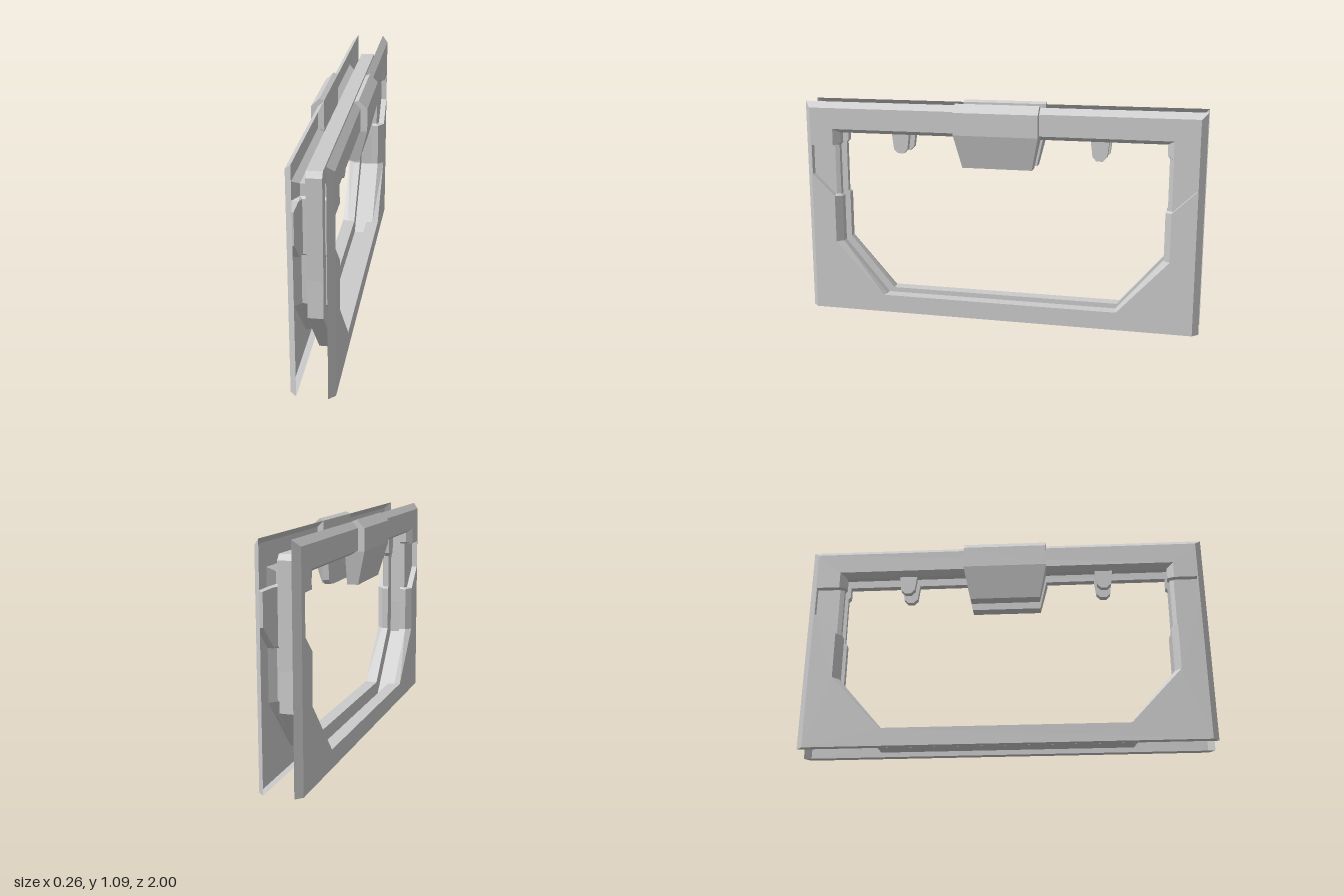
import * as THREE from 'three';

const mat = new THREE.MeshStandardMaterial({ color: 0xcccccc, flatShading: true, side: THREE.DoubleSide });

const mesh = (name, geometry) => {
  const m = new THREE.Mesh(geometry, mat);
  m.name = name;
  return m;
};

// Half outline [z, y] from bottom to top -> full closed outline
const mirrorOutline = (half) => [...half, ...half.map(([z, y, ...r]) => [-z, y, ...r]).reverse()];

// Sheet between rows of [x, y, z] points
function ribbon(rows, closed) {
  const pos = [];
  for (let r = 0; r < rows.length - 1; r++) {
    const a = rows[r], b = rows[r + 1], n = a.length;
    for (let i = 0; i < (closed ? n : n - 1); i++) {
      const j = (i + 1) % n;
      pos.push(...a[i], ...b[i], ...b[j], ...a[i], ...b[j], ...a[j]);
    }
  }
  const g = new THREE.BufferGeometry();
  g.setAttribute('position', new THREE.Float32BufferAttribute(pos, 3));
  g.computeVertexNormals();
  return g;
}

const at = (outline, x) => outline.map(([z, y]) => [x, y, z]);

function outlineShape(outline, hole) {
  const pts = (o) => o.map(([z, y]) => new THREE.Vector2(-z, y));
  const s = new THREE.Shape(pts(outline));
  if (hole) s.holes.push(new THREE.Path(pts(hole)));
  return s;
}

// Flat sheet facing +x
const face = (outline, x, hole) =>
  new THREE.ShapeGeometry(outlineShape(outline, hole)).rotateY(Math.PI / 2).translate(x, 0, 0);

// Opening lip: [outer z, y, inner z, y, outer x, bevel x]
const lipHalf = [
  [0.60, 0.09, 0.59, 0.09, 0.10, 0.07],
  [0.85, 0.36, 0.82, 0.36, 0.10, 0.07],
  [0.85, 0.60, 0.82, 0.595, 0.10, 0.07],
  [0.855, 0.605, 0.83, 0.605, 0.07, 0.06],
  [0.855, 0.86, 0.83, 0.86, 0.07, 0.06],
  [0.85, 0.86, 0.82, 0.87, 0.10, 0.07],
  [0.85, 0.945, 0.82, 0.925, 0.10, 0.07],
];
const lip = [...lipHalf, ...lipHalf.map(([a, b, c, d, e, f]) => [-a, b, -c, d, e, f]).reverse()];
const innerOpening = lip.map((p) => [p[2], p[3]]);
const CORE = 0.035;

function createSide() {
  const g = new THREE.Group();

  // Outer face with its opening, chamfered rim
  const pocket = [[0.85, 0.60], [0.965, 0.71], [0.965, 0.86], [0.85, 0.86]];
  const plate = mirrorOutline([[0.97, 0], [0.97, 1.05]]);
  const rim = mirrorOutline([[1, 0], [1, 1.08]]);
  const opening = mirrorOutline([[0.60, 0.09], [0.85, 0.36], ...pocket, [0.85, 0.945]]);
  g.add(mesh('sidePlate', face(plate, 0.10, opening)));
  g.add(mesh('plateRim', ribbon([at(rim, 0.07), at(plate, 0.10)], true)));

  // Bevelled lip around the opening
  g.add(mesh('openingLip', ribbon([
    lip.map((p) => [p[4], p[1], p[0]]),
    lip.map((p) => [p[5], p[3], p[2]]),
    at(innerOpening, CORE),
  ], true)));

  for (const k of [1, -1]) {
    // Sunken panel on each upright
    const p = pocket.map(([z, y]) => [k * z, y]);
    g.add(mesh('recessPanel', face(p, 0.07)));
    g.add(mesh('recessWall', ribbon([at(p, 0.10), at(p, 0.07)], false)));

    // Small hanging tab
    const tab = [[0.545, 0.93], [0.535, 0.85], [0.515, 0.83], [0.485, 0.83], [0.465, 0.85], [0.455, 0.93]]
      .map(([z, y]) => [k * z, y]);
    const geo = new THREE.ExtrudeGeometry(outlineShape(tab), { depth: 0.03, bevelEnabled: false });
    g.add(mesh('hangingTab', geo.rotateY(Math.PI / 2).translate(0.038, 0, 0)));
  }

  // Central clamp, narrowing towards its lower edge
  const profile = [[CORE, 0.775], [0.09, 0.775], [0.132, 0.94], [0.132, 1.05], [0.092, 1.09],
    [0.07, 1.08], [0.07, 0.94], [0.07, 0.925], [CORE, 0.925]].map(([x, y]) => new THREE.Vector2(x, y));
  const clamp = new THREE.ExtrudeGeometry(new THREE.Shape(profile), { depth: 0.42, bevelEnabled: false });
  clamp.translate(0, 0, -0.21);
  const pos = clamp.attributes.position;
  for (let i = 0; i < pos.count; i++) {
    const drop = Math.max(0, 0.94 - pos.getY(i)) / 0.165;
    pos.setZ(i, pos.getZ(i) * (1 - 0.17 * drop));
  }
  clamp.computeVertexNormals();
  g.add(mesh('centreClamp', clamp));
  return g;
}

export function createModel() {
  const model = new THREE.Group();
  model.name = 'doubleFrame';

  const left = createSide();
  left.name = 'leftSide';
  const right = createSide();
  right.name = 'rightSide';
  right.scale.x = -1;
  model.add(left, right);

  // Central channel joining both sides, open towards the opening
  const core = new THREE.Group();
  core.name = 'coreChannel';
  const outer = mirrorOutline([[0.61, 0.012], [0.89, 0.33], [0.885, 0.51], [0.89, 0.98], [0.87, 1.005]]);
  core.add(mesh('channelFloor', ribbon([at(outer, -CORE), at(outer, CORE)], true)));
  for (const s of [1, -1]) core.add(mesh('channelWall', face(outer, s * CORE, innerOpening)));
  model.add(core);
  return model;
}
